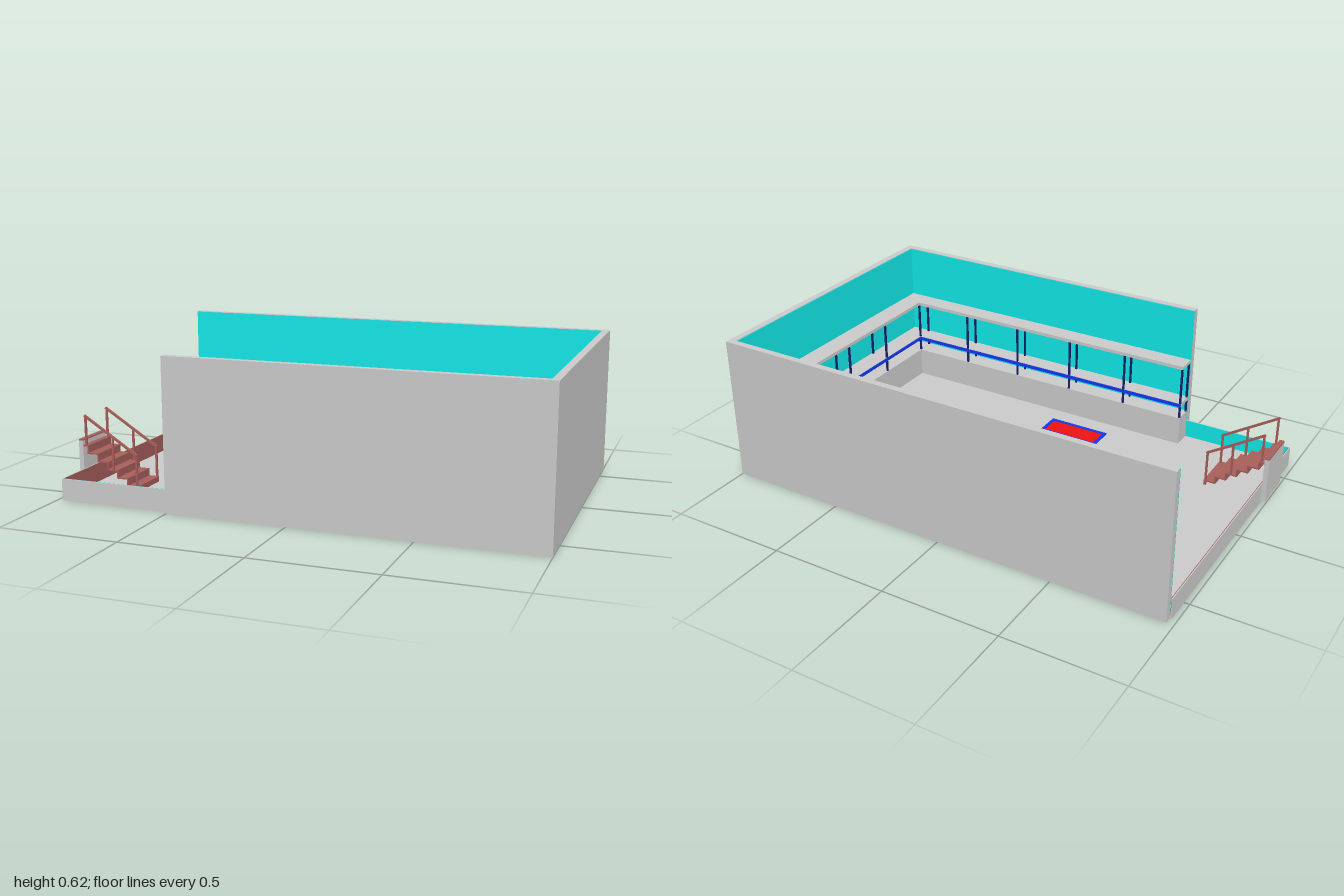
import * as THREE from 'three';

const mat = (color) => new THREE.MeshStandardMaterial({ color, side: THREE.DoubleSide });

export function createModel() {
  const root = new THREE.Group();
  root.name = 'poolHall';
  const grey = mat(0xcccccc), teal = mat(0x12e8e8), brown = mat(0xa85f5a);
  const blue = mat(0x1238f5), red = mat(0xee1313), navy = mat(0x14206a);

  // Box given by its min and max on each axis
  const box = (name, m, x0, x1, y0, y1, z0, z1, parent = root) => {
    const mesh = new THREE.Mesh(new THREE.BoxGeometry(x1 - x0, y1 - y0, z1 - z0), m);
    mesh.position.set((x0 + x1) / 2, (y0 + y1) / 2, (z0 + z1) / 2);
    mesh.name = name;
    parent.add(mesh);
    return mesh;
  };
  const group = (name) => {
    const g = new THREE.Group();
    g.name = name;
    root.add(g);
    return g;
  };

  const H = 0.62, FLOOR = 0.012, RIM = 0.09, T = 0.003;
  const XI = 0.97, ZI = 0.605, ZB = -0.61;

  // Floor and tall walls
  box('floor', grey, -0.975, XI, 0, FLOOR, ZB, ZI);
  box('backWall', grey, -0.97, 1, 0, H, -0.638, ZB);
  box('leftWall', grey, XI, 1, 0, H, ZB, ZI);
  box('frontWall', grey, -0.5, 1, 0, H, ZI, 0.636);

  // Painted inner faces
  box('backPaint', teal, -0.97, XI, FLOOR, H - 0.002, ZB, ZB + T);
  box('leftPaint', teal, XI - T, XI, FLOOR, H - 0.002, ZB + T, ZI - T);
  box('frontPaint', teal, -0.5, XI, FLOOR, H - 0.002, ZI - T, ZI);

  // Low rims at the open corner
  box('sideRim', grey, -0.978, -0.974, 0, RIM, ZB, ZI);
  box('sideRimPaint', brown, -0.974, -0.971, FLOOR, RIM, ZB + T, ZI - T);
  box('frontRim', grey, -0.978, -0.5, 0, RIM, ZI, ZI + 0.004);
  box('frontRimPaint', teal, -0.971, -0.5, FLOOR, RIM, ZI - T, ZI);

  // L-shaped bench, shelf and gallery along the left and front walls
  const XL = 0.875, ZL = 0.52;
  const lShape = (name, m, y0, y1, inset = 0) => {
    const g = group(name);
    box(name + 'Side', m, XL + inset, XI - T, y0, y1, ZB + T, ZI - T, g);
    box(name + 'Front', m, -0.5, XL + inset, y0, y1, ZL + inset, ZI - T, g);
  };
  lShape('bench', grey, FLOOR, 0.14);
  lShape('shelf', grey, 0.195, 0.21, 0.003);
  lShape('gallery', grey, 0.375, 0.39);

  // Coloured edge of the shelf
  const edge = group('shelfEdge');
  box('edgeSide', blue, XL, XL + 0.003, 0.193, 0.208, ZB + T, ZL + 0.003, edge);
  box('edgeFront', blue, -0.5, XL, 0.193, 0.208, ZL, ZL + 0.003, edge);

  // Pairs of posts between bench and gallery
  const posts = group('posts');
  const post = (x, z) => box('post', navy, x - 0.004, x + 0.004, 0.14, 0.375, z - 0.004, z + 0.004, posts);
  for (let i = 0; i < 6; i++) {
    const x = 0.88 - i * 0.275;
    post(x, ZL + 0.006);
    post(x, ZI - 0.01);
  }
  for (let i = 1; i < 5; i++) {
    const z = ZL - i * 0.27;
    post(XL + 0.006, z);
    post(XI - 0.01, z);
  }

  // Framed floor panels, the first one empty
  const panels = [
    [-0.34, -0.225, -0.545, -0.27], [-0.025, 0.095, -0.485, -0.21],
    [0.255, 0.37, -0.555, -0.285], [0.41, 0.53, -0.03, 0.25], [-0.19, 0.085, 0.315, 0.435],
  ];
  panels.forEach(([x0, x1, z0, z1], i) => {
    const g = group('floorPanel'), w = 0.015, top = FLOOR + 0.005;
    box('frameBack', blue, x0, x1, FLOOR, top, z0, z0 + w, g);
    box('frameFront', blue, x0, x1, FLOOR, top, z1 - w, z1, g);
    box('frameRight', blue, x0, x0 + w, FLOOR, top, z0 + w, z1 - w, g);
    box('frameLeft', blue, x1 - w, x1, FLOOR, top, z0 + w, z1 - w, g);
    if (i > 0) box('inlay', red, x0 + w, x1 - w, FLOOR, top - 0.002, z0 + w, z1 - w, g);
  });

  // Entrance panel outside the rim, with its cap
  const S0 = 0.262, S1 = 0.438;
  box('entrancePanel', grey, -1, -0.98, 0.015, 0.208, S0, S1);
  box('entranceCap', brown, -1, -0.98, 0.208, 0.213, S0, S1);

  // Stairs: a folded sheet of treads and risers
  const pts = [[-0.98, 0.19]];
  for (let i = 0; i < 6; i++) {
    const x = -0.955 + i * 0.045, y = 0.19 - i * 0.031;
    pts.push([x, y], [x, i < 5 ? y - 0.031 : FLOOR]);
  }
  const outline = [...pts, ...pts.map(([x, y]) => [x - 0.006, y - 0.006]).reverse()]
    .map(([x, y]) => new THREE.Vector2(x, Math.max(y, FLOOR)));
  const stairs = new THREE.Mesh(
    new THREE.ExtrudeGeometry(new THREE.Shape(outline), { depth: S1 - S0, bevelEnabled: false }), brown);
  stairs.position.z = S0;
  stairs.name = 'stairs';
  root.add(stairs);

  // Handrails on both sides of the stairs
  for (const z of [S0 + 0.005, S1 - 0.005]) {
    const g = group('handrail');
    for (const [x, y0, y1] of [[-0.967, 0.185, 0.31], [-0.843, 0.09, 0.23], [-0.736, FLOOR, 0.162]])
      box('railPost', brown, x - 0.004, x + 0.004, y0, y1, z - 0.004, z + 0.004, g);
    const a = new THREE.Vector2(-0.972, 0.314), b = new THREE.Vector2(-0.732, 0.163), d = b.clone().sub(a);
    const bar = new THREE.Mesh(new THREE.BoxGeometry(d.length(), 0.009, 0.009), brown);
    bar.position.set((a.x + b.x) / 2, (a.y + b.y) / 2, z);
    bar.rotation.z = d.angle();
    bar.name = 'railBar';
    g.add(bar);
  }
  return root;
}
